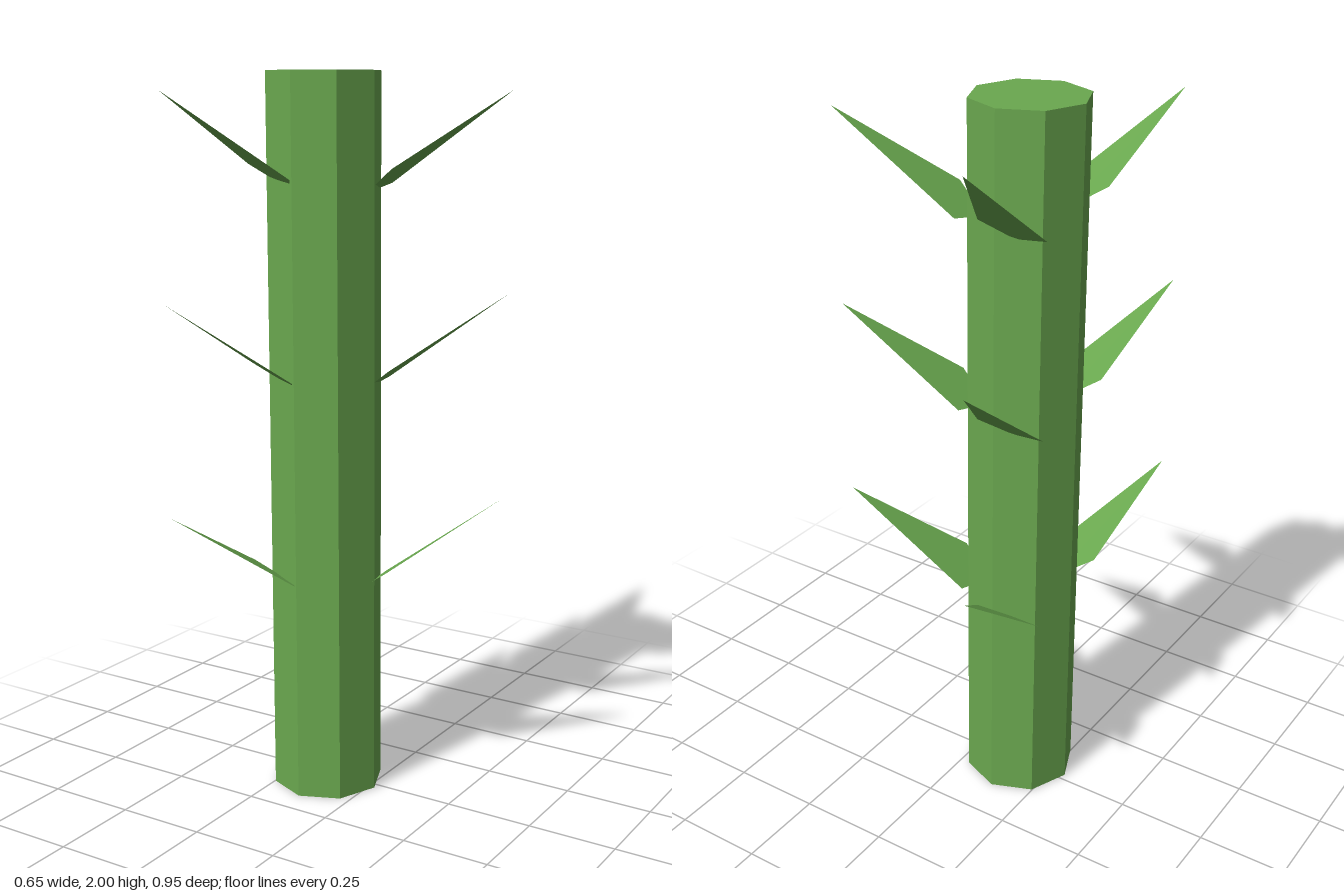
import * as THREE from 'three';

const green = new THREE.MeshStandardMaterial({ color: 0x6aa84f, flatShading: true });
const leafGreen = new THREE.MeshStandardMaterial({ color: 0x6aa84f, flatShading: true, side: THREE.DoubleSide });

// Flat kite-shaped leaf: tip, two shoulders and a base point tucked into the stem
function leaf(name, tip, sideA, base, sideB) {
  const geo = new THREE.BufferGeometry();
  geo.setAttribute('position', new THREE.Float32BufferAttribute([...tip, ...sideA, ...base, ...sideB], 3));
  geo.setIndex([0, 1, 2, 0, 2, 3]);
  // Keep the front of the face upward
  geo.computeVertexNormals();
  if (geo.attributes.normal.getY(0) < 0) {
    geo.setIndex([0, 2, 1, 0, 3, 2]);
    geo.computeVertexNormals();
  }
  const mesh = new THREE.Mesh(geo, leafGreen);
  mesh.name = name;
  return mesh;
}

export function createModel() {
  const plant = new THREE.Group();
  plant.name = 'stalk';

  // Eight-sided stem
  const stem = new THREE.Mesh(new THREE.CylinderGeometry(0.156, 0.156, 2, 8), green);
  stem.name = 'stem';
  stem.position.set(-0.138, 1, 0.02);
  plant.add(stem);

  // Three tiers of three leaves; the left leaf drifts forward on lower tiers
  [0, -0.53, -1.09].forEach((drop, i) => {
    const tier = new THREE.Group();
    tier.name = `leafTier${i + 1}`;
    tier.position.y = drop;
    const left = leaf('leftLeaf', [0.321, 1.95, -0.177], [-0.013, 1.705, -0.125], [-0.026, 1.683, -0.012], [0.073, 1.75, 0.025]);
    left.position.z = i * 0.012;
    tier.add(
      left,
      leaf('frontLeaf', [-0.325, 1.95, 0.475], [-0.287, 1.76, 0.158], [-0.188, 1.696, 0.115], [-0.12, 1.725, 0.21]),
      leaf('backLeaf', [-0.28, 1.95, -0.477], [-0.293, 1.705, -0.142], [-0.18, 1.68, -0.108], [-0.13, 1.746, -0.197]),
    );
    plant.add(tier);
  });
  return plant;
}
